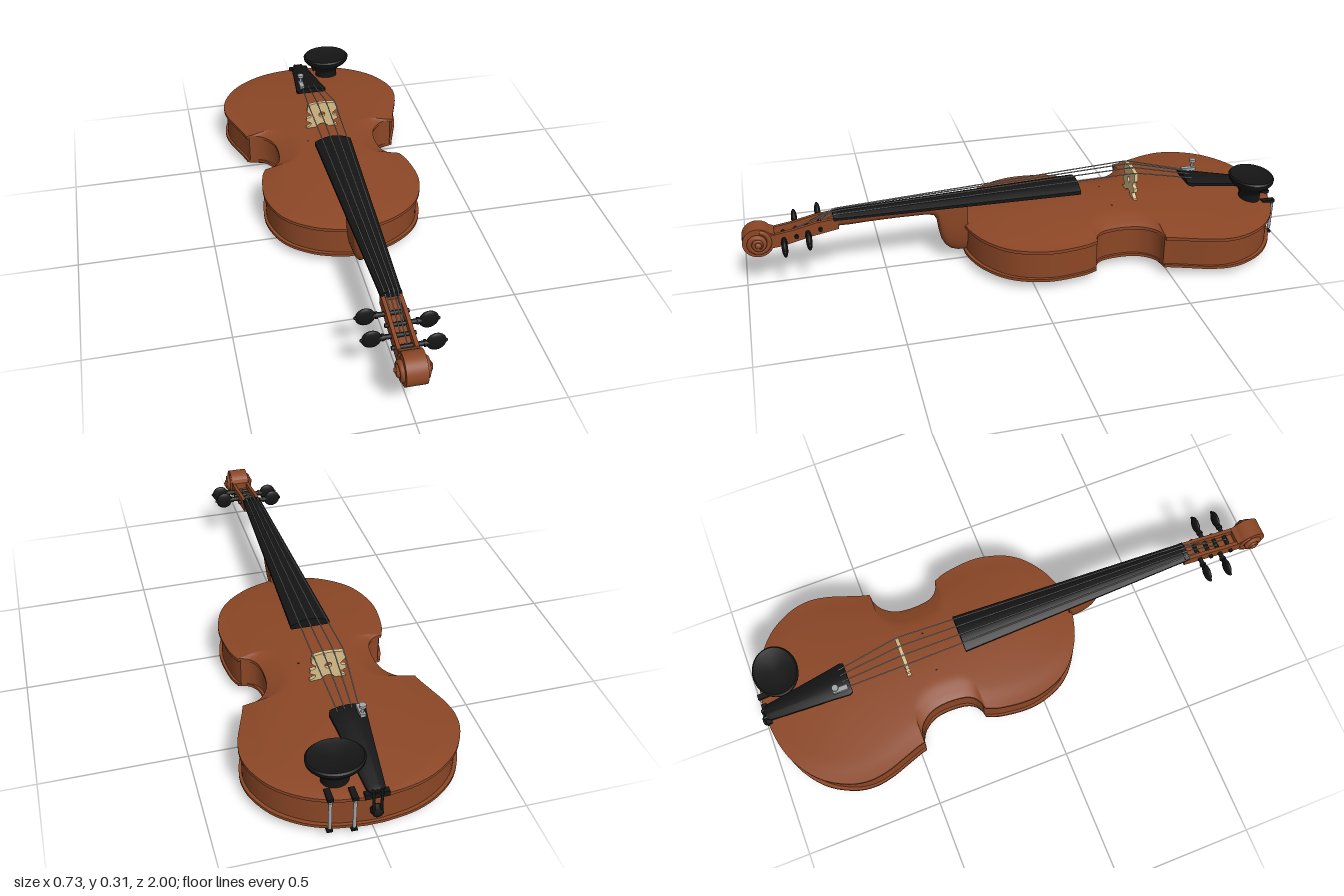
import * as THREE from 'three';
import { toCreasedNormals } from 'three/addons/utils/BufferGeometryUtils.js';

const mat = (name, color) => Object.assign(new THREE.MeshStandardMaterial({ color }), { name });
const V = (x, y, z) => new THREE.Vector3(x, y, z);

// Skin a row of rings (counter-clockwise seen from +z, ordered by rising z) and cap both ends
function loft(rings, crease = 0.6) {
  const n = rings[0].length, pos = [], idx = [];
  rings.forEach(r => r.forEach(p => pos.push(p.x, p.y, p.z)));
  for (let i = 0; i < rings.length - 1; i++) {
    for (let j = 0; j < n; j++) {
      const a = i * n + j, b = i * n + (j + 1) % n;
      idx.push(a, b, b + n, a, b + n, a + n);
    }
  }
  const last = (rings.length - 1) * n;
  for (let j = 1; j < n - 1; j++) idx.push(0, j + 1, j, last, last + j, last + j + 1);
  const g = new THREE.BufferGeometry();
  g.setAttribute('position', new THREE.Float32BufferAttribute(pos, 3));
  g.setIndex(idx);
  return toCreasedNormals(g, crease);
}

// Flat-bottomed bar with a crowned top; sections are [z, halfWidth, bottom, topEdge, crown]
const crownedBar = sections => loft(sections.map(([z, w, yb, yt, c]) => {
  const ring = [V(-w, yb, z), V(w, yb, z)];
  for (let k = 0; k <= 10; k++) {
    const u = 1 - k / 5;
    ring.push(V(u * w, yt + c * (1 - u * u), z));
  }
  return ring;
}));

// Half outline of the body: lower bout, waist, upper bout as [halfWidth, z]
const outline = [
  [[.03, -.977], [.13, -.962], [.22, -.925], [.30, -.86], [.35, -.775], [.365, -.70], [.355, -.63], [.335, -.57], [.312, -.505], [.305, -.478]],
  [[.303, -.476], [.27, -.472], [.235, -.452], [.206, -.41], [.196, -.355], [.2, -.29], [.215, -.255], [.24, -.236], [.266, -.229]],
  [[.268, -.226], [.285, -.18], [.297, -.09], [.292, -.02], [.265, .06], [.22, .12], [.15, .17], [.08, .197], [.03, .207]],
].flatMap(seg => new THREE.SplineCurve(seg.map(p => new THREE.Vector2(...p))).getPoints(32));

// Arching of the plates, fading to zero at the edge
function arch(x, z, w) {
  const W = .37 - .07 * (z + .7) / .6, t = Math.abs((z + .385) / .593);
  const across = Math.max(0, 1 - Math.pow(Math.abs(x) / W, 1.6));
  const edge = THREE.MathUtils.smoothstep(w - Math.abs(x), -.03, .08);
  return across * (Math.abs(x) >= w - 1e-6 ? 0 : edge) * Math.max(0, 1 - t ** 3);
}

// Plate with an arched face; dir +1 is the top plate, -1 the back plate
function plate(inner, outer, rise, dir) {
  const N = 28;
  return loft(outline.map(({ x: w, y: z }) => {
    const ring = [V(-dir * w, inner, z), V(dir * w, inner, z)];
    for (let k = 0; k <= N; k++) {
      const x = dir * w * (1 - 2 * k / N);
      ring.push(V(x, outer + dir * rise * arch(x, z, w), z));
    }
    return ring;
  }));
}

export function createModel() {
  const model = new THREE.Group();
  model.name = 'violin';
  const wood = mat('varnished wood', 0x8c4726), black = mat('ebony', 0x151515);
  const maple = mat('pale maple', 0xd8bd88), steel = mat('steel', 0xa4a6a8);

  const add = (name, geo, material, x = 0, y = 0, z = 0, parent = model) => {
    const m = new THREE.Mesh(geo, material);
    m.name = name;
    m.position.set(x, y, z);
    parent.add(m);
    return m;
  };
  const tube = (name, pts, r, material) => {
    const path = new THREE.CurvePath();
    for (let i = 1; i < pts.length; i++) path.add(new THREE.LineCurve3(pts[i - 1], pts[i]));
    return add(name, new THREE.TubeGeometry(path, 40, r, 6), material);
  };
  // Side profile in (z, y) extruded across x
  const sideExtrude = (pts, width) => {
    const s = new THREE.Shape(pts.map(([z, y]) => new THREE.Vector2(-z, y)));
    return new THREE.ExtrudeGeometry(s, { depth: width, bevelEnabled: false }).translate(0, 0, -width / 2).rotateY(Math.PI / 2);
  };

  // Body
  add('topPlate', plate(.149, .161, .034, 1), wood);
  add('backPlate', plate(.047, .036, .034, -1), wood);
  add('ribs', loft(outline.map(({ x, y }) => {
    const w = x - .01, z = -.385 + (y + .385) * .983;
    return [V(-w, .04, z), V(w, .04, z), V(w, .155, z), V(-w, .155, z)];
  })), wood);
  for (const s of [-1, 1]) {
    add('soundHoleEye', new THREE.CylinderGeometry(.012, .012, .006, 16), black, s * .143, .179, -.56);
    add('soundHoleTip', new THREE.CylinderGeometry(.004, .004, .006, 10), black, s * .075, .189, -.345);
  }

  // Neck and heel: rounded underside, sections are [z, halfWidth, bottom]
  const neck = [[.195, .042, .04], [.23, .042, .043], [.255, .042, .052], [.275, .042, .07], [.29, .042, .1], [.298, .042, .14],
    [.303, .043, .18], [.315, .043, .203], [.34, .043, .212], [.45, .04, .213], [.56, .037, .21], [.62, .036, .207], [.67, .036, .208]];
  add('neck', loft(neck.map(([z, w, yb]) => {
    const ring = [];
    for (let k = 0; k <= 18; k++) {
      const a = Math.PI * k / 18;
      ring.push(V(-w * Math.cos(a), .246 - (.246 - yb) * Math.pow(Math.sin(a), .85), z));
    }
    return ring;
  }), 0.8), wood);

  // Fingerboard and nut
  add('fingerboard', crownedBar([[-.225, .07, .248, .262, .02], [.665, .036, .241, .25, .011]]), black);
  add('nut', crownedBar([[.66, .036, .24, .253, .012], [.677, .036, .24, .253, .012]]), black);

  // Pegbox: two cheeks and a floor
  for (const s of [-1, 1]) {
    add('pegboxCheek', sideExtrude([[.66, .208], [.66, .25], [.74, .242], [.82, .224], [.9, .212], [.92, .16], [.86, .166], [.76, .19]], .013), wood, s * .029);
  }
  add('pegboxFloor', sideExtrude([[.66, .209], [.66, .225], [.76, .208], [.86, .188], [.92, .19], [.92, .162], [.86, .168], [.76, .192]], .05), wood);
  add('pegboxEnd', sideExtrude([[.885, .17], [.885, .215], [.915, .23], [.93, .2], [.93, .16]], .068), wood);

  // Scroll: round core with a volute winding outward on each side
  const cy = .188, cz = .944;
  add('scrollCore', new THREE.CylinderGeometry(.055, .055, .07, 40).rotateZ(Math.PI / 2), wood, 0, cy, cz);
  for (const s of [-1, 1]) {
    const pts = [];
    for (let k = 0; k <= 40; k++) {
      const t = k / 40, a = t * Math.PI * 3.6 + 1.8, r = .043 - .032 * t;
      pts.push(V(s * (.031 + .018 * t), cy + r * Math.sin(a), cz + r * Math.cos(a)));
    }
    add('scrollVolute', new THREE.TubeGeometry(new THREE.CatmullRomCurve3(pts), 90, .0095, 8), wood);
    add('scrollBoss', new THREE.CylinderGeometry(.015, .034, .024, 24).rotateZ(-s * Math.PI / 2), wood, s * .043, cy, cz);
    add('scrollEye', new THREE.SphereGeometry(.013, 16, 10), wood, s * .049, cy, cz);
  }

  // Tuning pegs, alternating sides
  const pegs = [[.725, .217, -1], [.77, .209, 1], [.81, .2, -1], [.855, .193, 1]];
  for (const [z, y, s] of pegs) {
    const peg = new THREE.Group();
    peg.name = 'tuningPeg';
    peg.position.set(0, y, z);
    model.add(peg);
    add('pegShaft', new THREE.CylinderGeometry(.009, .007, .12, 14).rotateZ(-s * Math.PI / 2), black, s * .014, 0, 0, peg);
    add('pegCollar', new THREE.CylinderGeometry(.012, .012, .008, 14).rotateZ(Math.PI / 2), black, s * .062, 0, 0, peg);
    add('pegHead', new THREE.SphereGeometry(1, 20, 14).scale(.033, .034, .011), black, s * .098, 0, 0, peg);
    add('pegTip', new THREE.SphereGeometry(.006, 10, 8), black, s * .13, 0, 0, peg);
  }

  // Bridge with arched feet, side notches and pierced openings
  const b = new THREE.Shape();
  b.moveTo(-.066, .184);
  b.lineTo(-.032, .186);
  b.quadraticCurveTo(0, .232, .032, .186);
  b.lineTo(.066, .184);
  b.lineTo(.062, .198);
  b.quadraticCurveTo(.04, .205, .045, .216);
  b.lineTo(.064, .226);
  b.lineTo(.062, .24);
  b.quadraticCurveTo(.038, .24, .046, .256);
  b.lineTo(.06, .268);
  b.lineTo(.056, .298);
  b.quadraticCurveTo(0, .311, -.056, .298);
  b.lineTo(-.06, .268);
  b.lineTo(-.046, .256);
  b.quadraticCurveTo(-.038, .24, -.062, .24);
  b.lineTo(-.064, .226);
  b.lineTo(-.045, .216);
  b.quadraticCurveTo(-.04, .205, -.062, .198);
  b.closePath();
  const hole = new THREE.Path();
  hole.absellipse(0, .25, .012, .012, 0, Math.PI * 2, true);
  b.holes.push(hole);
  add('bridge', new THREE.ExtrudeGeometry(b, { depth: .014, bevelEnabled: false, curveSegments: 10 }), maple, 0, 0, -.449);

  // Tailpiece, saddle, end pin and tail gut
  add('tailpiece', crownedBar([[-.975, .02, .168, .176, .008], [-.96, .03, .17, .18, .01], [-.72, .055, .212, .224, .014],
    [-.665, .062, .222, .234, .014], [-.652, .056, .226, .236, .012]]), black);
  add('saddle', new THREE.BoxGeometry(.08, .02, .02), black, 0, .162, -.97);
  add('endPin', new THREE.LatheGeometry([[0, -.03], [.01, -.03], [.01, 0], [.02, .004], [.022, .012], [.014, .02], [.018, .026], [.012, .031], [0, .033]]
    .map(p => new THREE.Vector2(...p)), 20).rotateX(-Math.PI / 2), black, 0, .1, -.967);
  for (const s of [-1, 1]) {
    tube('tailGut', [V(s * .014, .18, -.95), V(s * .014, .178, -.982), V(s * .012, .1, -.986)], .005, black);
  }

  // Strings from peg over nut and bridge to tailpiece
  const pegOrder = [0, 2, 3, 1];
  [-1.5, -.5, .5, 1.5].forEach((k, i) => {
    const [pz, py] = pegs[pegOrder[i]], inner = Math.abs(k) < 1;
    tube('string', [V(k * .01, py + .008, pz), V(k * .015, inner ? .267 : .261, .67),
      V(k * .036, inner ? .308 : .302, -.442), V(k * .024, inner ? .25 : .244, -.675)], .0022, steel);
  });

  // Fine tuner
  add('tunerBody', new THREE.BoxGeometry(.018, .012, .055), steel, -.036, .247, -.69);
  add('tunerPost', new THREE.CylinderGeometry(.005, .005, .045, 10), steel, -.036, .258, -.705);
  add('tunerScrew', new THREE.CylinderGeometry(.012, .012, .01, 16), steel, -.036, .28, -.705);

  // Chin rest: dished oval cup on a tapered foot, held by a clamp
  const cup = [[0, .17], [.046, .17], [.046, .2], [.058, .218], [.084, .238], [.094, .25], [.096, .262], [.09, .268], [.07, .262], [0, .254]];
  add('chinRest', toCreasedNormals(new THREE.LatheGeometry(cup.map(p => new THREE.Vector2(...p)), 40), 0.6).scale(1, 1, .85), black, .108, 0, -.885);
  for (const [x, z] of [[.07, -.978], [.145, -.965]]) {
    add('clampRod', new THREE.CylinderGeometry(.006, .006, .11, 12), steel, x, .1, z);
    add('clampTop', new THREE.BoxGeometry(.02, .012, .05), black, x, .167, z + .02);
    add('clampFoot', new THREE.BoxGeometry(.02, .008, .04), black, x, .034, z + .015);
  }
  return model;
}
